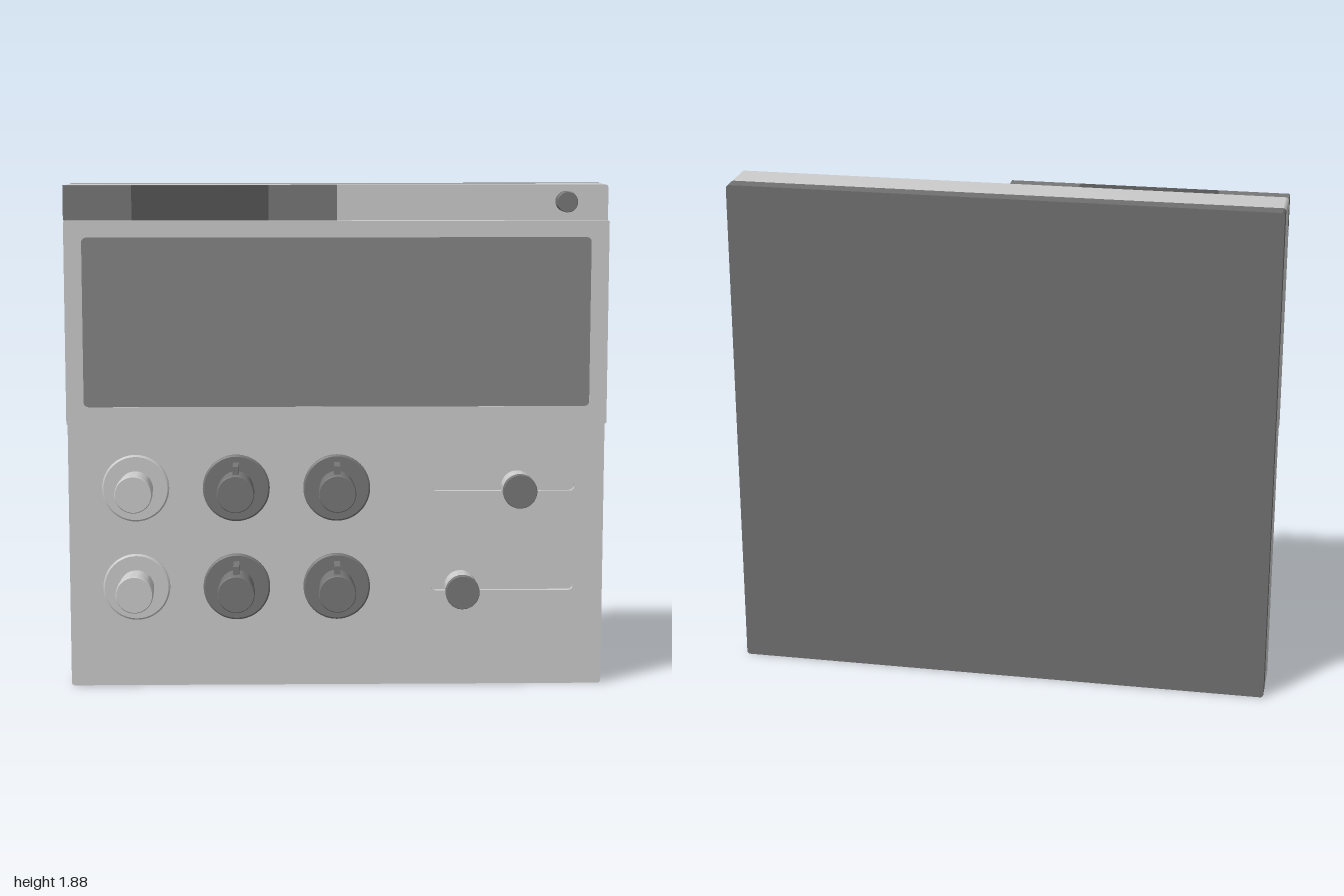
import * as THREE from 'three';
import { toCreasedNormals } from 'three/addons/utils/BufferGeometryUtils.js';

const material = (color) => new THREE.MeshStandardMaterial({ color });
const grey = material(0xcccccc);
const pale = material(0xdedede);
const mid = material(0x777777);
const dark = material(0x555555);
const screenGrey = material(0x858585);
const backGrey = material(0x707070);

// Rounded rectangle outline; r = h / 2 gives a pill
function roundedRect(x0, y0, x1, y1, r, Kind = THREE.Shape) {
  const s = new Kind();
  s.absarc(x1 - r, y0 + r, r, -Math.PI / 2, 0);
  s.absarc(x1 - r, y1 - r, r, 0, Math.PI / 2);
  s.absarc(x0 + r, y1 - r, r, Math.PI / 2, Math.PI);
  s.absarc(x0 + r, y0 + r, r, Math.PI, Math.PI * 1.5);
  s.closePath();
  return s;
}

function plate(name, shape, z0, z1, mat) {
  const g = new THREE.ExtrudeGeometry(shape, { depth: z1 - z0, bevelEnabled: false, curveSegments: 10 });
  g.translate(0, 0, z0);
  const m = new THREE.Mesh(toCreasedNormals(g, 0.6), mat);
  m.name = name;
  return m;
}

function box(name, x0, y0, z0, x1, y1, z1, mat) {
  const m = new THREE.Mesh(new THREE.BoxGeometry(x1 - x0, y1 - y0, z1 - z0), mat);
  m.position.set((x0 + x1) / 2, (y0 + y1) / 2, (z0 + z1) / 2);
  m.name = name;
  return m;
}

// Round part along z from a [radius, z] profile
function turned(name, points, mat) {
  const g = new THREE.LatheGeometry(points.map(([r, z]) => new THREE.Vector2(r, z)), 48);
  g.rotateX(Math.PI / 2);
  const m = new THREE.Mesh(toCreasedNormals(g, 0.5), mat);
  m.name = name;
  return m;
}

function knob(x, y, mat, pointer) {
  const k = new THREE.Group();
  k.name = 'knob';
  k.add(turned('knobBase', [[0.125, 0.015], [0.125, 0.032], [0.119, 0.036], [0, 0.036]], mat));
  k.add(turned('knobShaft', [[0.065, 0.03], [0.065, 0.125]], mat));
  k.add(turned('knobCap', [[0.065, 0.125], [0.069, 0.125], [0.069, 0.176], [0.066, 0.18], [0, 0.18]], mat));
  if (pointer) k.add(box('pointer', -0.011, 0.04, 0.03, 0.011, 0.098, 0.145, mat));
  k.position.set(x, y, 0);
  return k;
}

function sliderKnob(x, y) {
  const k = new THREE.Group();
  k.name = 'sliderKnob';
  k.add(turned('sliderStem', [[0.06, 0.015], [0.06, 0.13]], grey));
  k.add(turned('sliderCap', [[0.06, 0.125], [0.063, 0.125], [0.063, 0.148], [0.061, 0.151], [0, 0.151]], mid));
  k.position.set(x, y, 0);
  return k;
}

export function createModel() {
  const model = new THREE.Group();
  model.name = 'controlPanel';

  // Case: back plate, solid core and a face with slots cut through
  const outline = () => roundedRect(-1, 0, 1, 1.88, 0.012);
  model.add(plate('backPlate', outline(), -0.18, -0.12, backGrey));
  model.add(plate('caseCore', outline(), -0.12, 0, grey));
  const face = outline();
  const sliders = [[0.675, 0.757], [0.465, 0.378]];
  for (const [, y] of sliders) {
    face.holes.push(roundedRect(0.355, y - 0.018, 0.89, y + 0.018, 0.0175, THREE.Path));
  }
  face.holes.push(roundedRect(0.737, 1.775, 0.885, 1.86, 0.042, THREE.Path));
  model.add(plate('caseFace', face, 0, 0.02, grey));

  // Raised display frame and screen
  const frame = roundedRect(-1, 1, 1, 1.75, 0.005);
  frame.holes.push(roundedRect(-0.935, 1.065, 0.935, 1.69, 0.018, THREE.Path));
  model.add(plate('displayFrame', frame, 0.02, 0.068, pale));
  model.add(plate('screen', roundedRect(-0.935, 1.065, 0.935, 1.69, 0.018), 0.02, 0.066, screenGrey));

  // Row of tabs along the top
  for (const [x0, x1, mat] of [[-1, -0.75, mid], [-0.75, -0.25, dark], [-0.25, 0, mid]]) {
    model.add(box('tab', x0, 1.752, 0.02, x1, 1.88, 0.068, mat));
  }

  // Toggle switch
  const toggle = turned('toggle', [[0.038, 0], [0.038, 0.066], [0.036, 0.068], [0, 0.068]], mid);
  toggle.position.set(0.845, 1.818, 0);
  model.add(toggle);

  // Two rows of rotary knobs
  for (const y of [0.755, 0.38]) {
    model.add(knob(-0.75, y, grey, false));
    for (const x of [-0.375, 0]) model.add(knob(x, y, mid, true));
  }

  for (const [x, y] of sliders) model.add(sliderKnob(x, y));
  return model;
}
